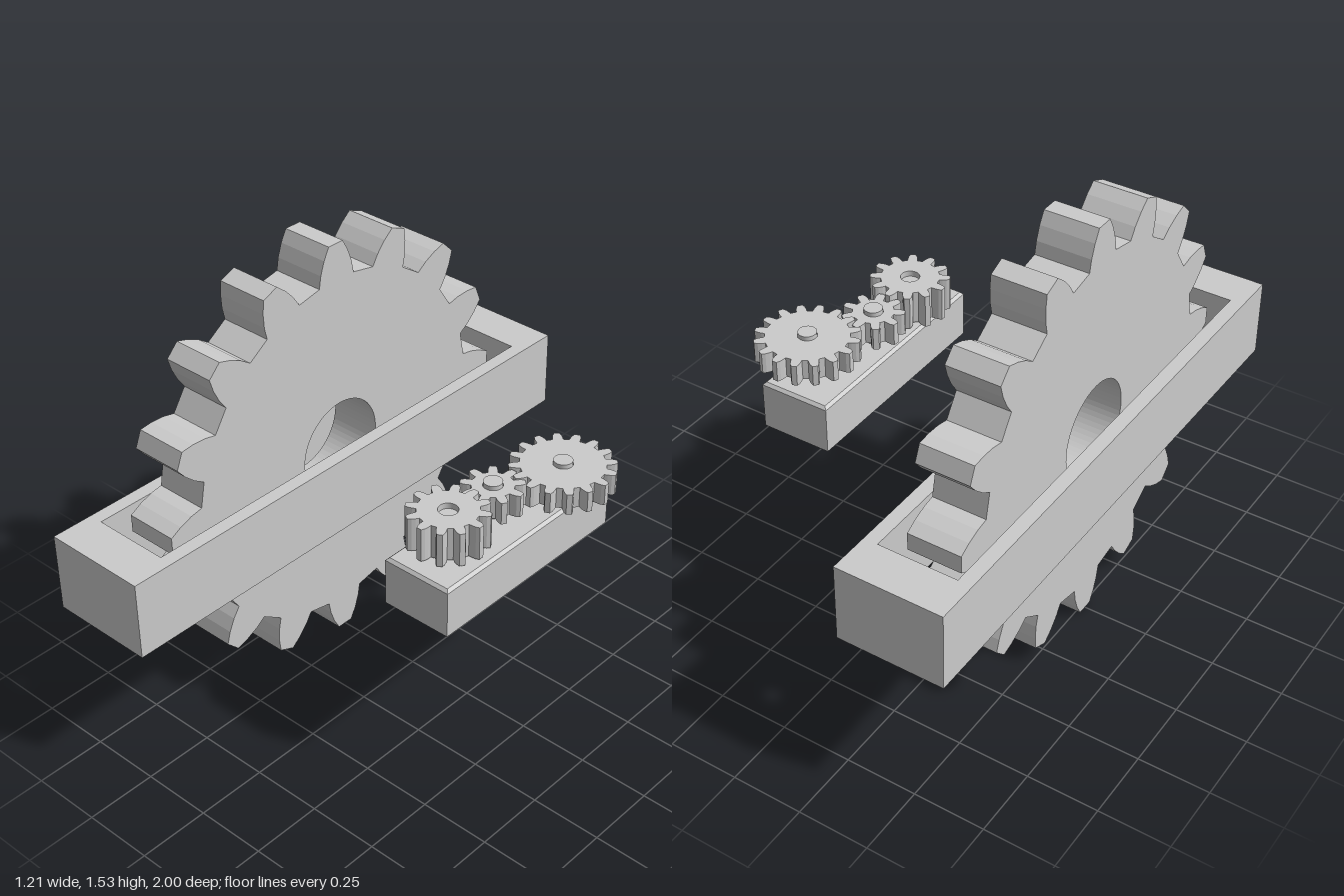
import * as THREE from 'three';

const material = new THREE.MeshStandardMaterial({ color: 0xcccccc });

function addMesh(parent, name, geometry, x = 0, y = 0, z = 0) {
  const mesh = new THREE.Mesh(geometry, material);
  mesh.name = name;
  mesh.position.set(x, y, z);
  parent.add(mesh);
  return mesh;
}

// Spur gear outline; profile lists [radius, half tooth angle as a fraction of the pitch] from root to tip
function gearGeometry(teeth, profile, bore, depth, phase = 0) {
  const pitch = (Math.PI * 2) / teeth;
  const points = [];
  for (let i = 0; i < teeth; i++) {
    const a = phase + i * pitch;
    const put = (r, t) => points.push(new THREE.Vector2(r * Math.cos(t), r * Math.sin(t)));
    profile.forEach(([r, w]) => put(r, a - w * pitch));
    [...profile].reverse().forEach(([r, w]) => put(r, a + w * pitch));
  }
  const shape = new THREE.Shape(points);
  if (bore) shape.holes.push(new THREE.Path().absarc(0, 0, bore, 0, Math.PI * 2, true));
  return new THREE.ExtrudeGeometry(shape, { depth, bevelEnabled: false, curveSegments: 32 });
}

function rectangle(target, w, d) {
  target.moveTo(-w / 2, -d / 2);
  target.lineTo(w / 2, -d / 2);
  target.lineTo(w / 2, d / 2);
  target.lineTo(-w / 2, d / 2);
  target.closePath();
  return target;
}

// Upright rectangular tube, standing on its own y = 0
function ringGeometry(w, d, innerW, innerD, height) {
  const shape = rectangle(new THREE.Shape(), w, d);
  shape.holes.push(rectangle(new THREE.Path(), innerW, innerD));
  return new THREE.ExtrudeGeometry(shape, { depth: height, bevelEnabled: false }).rotateX(-Math.PI / 2);
}

export function createModel() {
  const model = new THREE.Group();
  model.name = 'gearSet';

  // Large upright gear standing in its open frame
  const large = new THREE.Group();
  large.name = 'largeGearUnit';
  model.add(large);
  const largeProfile = [[0.637, 0.315], [0.68, 0.265], [0.725, 0.19], [0.765, 0.105]];
  const wheel = gearGeometry(16, largeProfile, 0.172, 0.19).rotateY(Math.PI / 2);
  addMesh(large, 'largeGear', wheel, -0.515, 0.765, 0);
  addMesh(large, 'largeFrame', ringGeometry(0.38, 2, 0.28, 1.7, 0.28), -0.42, 0.515, 0);

  // Small base: hollow underneath, with a chamfered lid
  const small = new THREE.Group();
  small.name = 'smallGearUnit';
  model.add(small);
  const cx = 0.3625, cz = -0.01, w = 0.255, d = 0.8;
  addMesh(small, 'smallBaseWalls', ringGeometry(w, d, w - 0.06, d - 0.06, 0.14), cx, 0.62, cz);
  addMesh(small, 'smallBaseTop', new THREE.BoxGeometry(w, 0.025, d), cx, 0.7725, cz);
  const lid = new THREE.BoxGeometry(w, 0.01, d);
  const p = lid.attributes.position;
  for (let i = 0; i < p.count; i++) {
    if (p.getY(i) > 0) {
      p.setX(i, p.getX(i) - Math.sign(p.getX(i)) * 0.01);
      p.setZ(i, p.getZ(i) - Math.sign(p.getZ(i)) * 0.01);
    }
  }
  addMesh(small, 'smallBaseLid', lid.toNonIndexed(), cx, 0.79, cz).geometry.computeVertexNormals();

  // Meshing train of three small gears on upright axles
  const train = [
    { name: 'driven', x: 0.425, z: -0.245, teeth: 16, r: 0.16, y0: 0.835, y1: 0.91, top: 0.925, phase: 0 },
    { name: 'idler', x: 0.33, z: -0.01, teeth: 9, r: 0.09, y0: 0.825, y1: 0.905, top: 0.92, phase: Math.PI / 2 },
    { name: 'driver', x: 0.33, z: 0.205, teeth: 12, r: 0.12, y0: 0.805, y1: 0.925, top: 0.905, phase: 0 },
  ];
  for (const g of train) {
    const profile = [[g.r - 0.02, 0.32], [g.r - 0.008, 0.28], [g.r + 0.005, 0.22], [g.r + 0.016, 0.13]];
    const geometry = gearGeometry(g.teeth, profile, 0.033, g.y1 - g.y0, g.phase).rotateX(-Math.PI / 2);
    addMesh(small, g.name + 'Gear', geometry, g.x, g.y0, g.z);
    const bottom = 0.66;
    const axle = new THREE.CylinderGeometry(0.032, 0.032, g.top - bottom, 24);
    addMesh(small, g.name + 'Axle', axle, g.x, (g.top + bottom) / 2, g.z);
  }
  return model;
}
